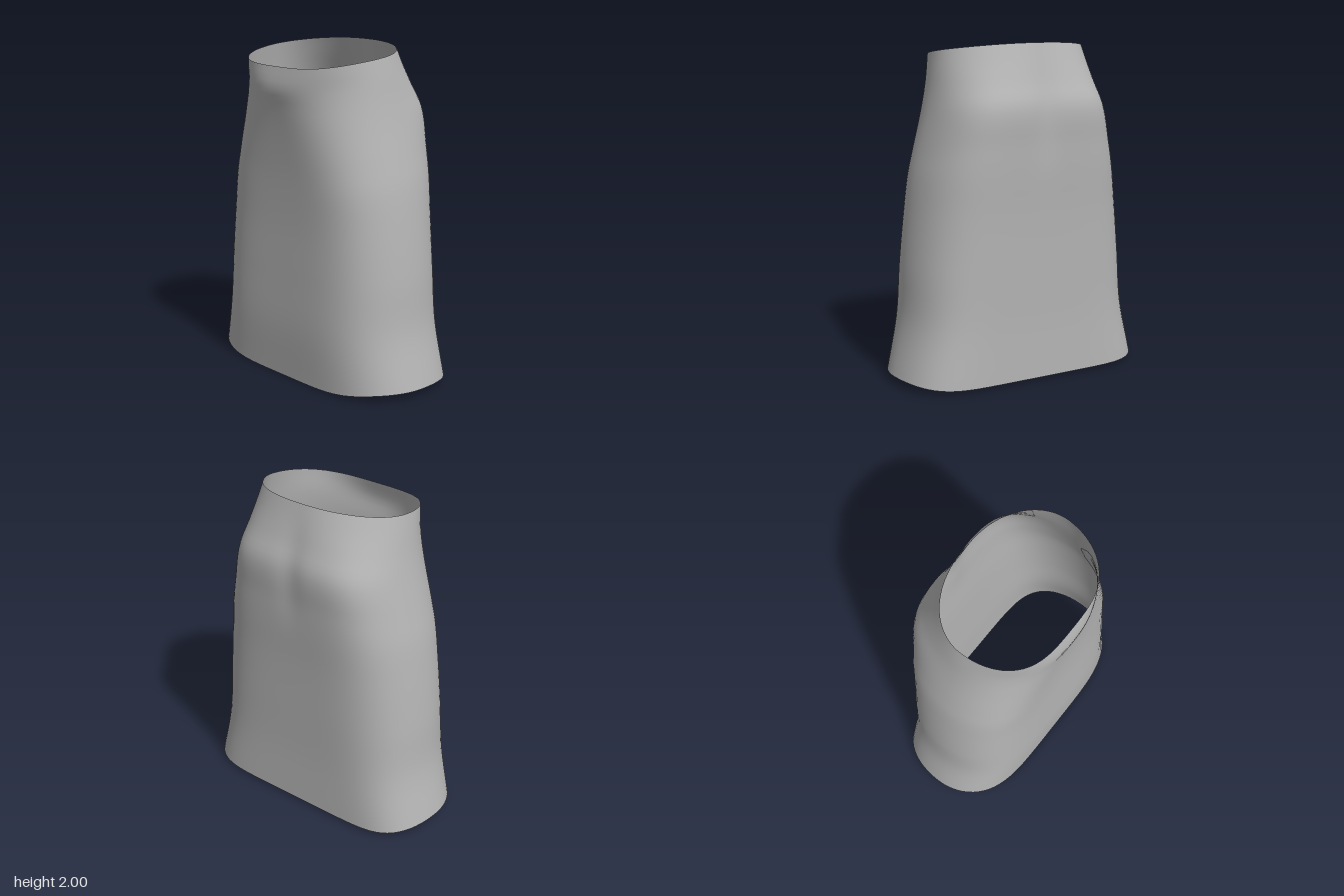
import * as THREE from 'three';

// Cross-sections from hem to waist:
// height fraction, half width, front z, back z, front squareness, back squareness, centre z, back dip
const SECTIONS = [
  [0.00, 0.800, 0.375, -0.388, 4.7, 6.8, 0.00, 0.000],
  [0.17, 0.730, 0.388, -0.385, 4.5, 5.6, 0.00, 0.000],
  [0.34, 0.706, 0.382, -0.393, 4.4, 4.8, 0.00, 0.000],
  [0.50, 0.672, 0.375, -0.403, 4.5, 4.6, 0.00, 0.000],
  [0.62, 0.638, 0.377, -0.417, 4.5, 4.6, 0.00, 0.002],
  [0.69, 0.607, 0.382, -0.423, 4.1, 4.6, 0.00, 0.008],
  [0.81, 0.552, 0.398, -0.427, 3.2, 4.4, 0.00, 0.018],
  [0.88, 0.524, 0.413, -0.380, 2.6, 3.5, 0.01, 0.010],
  [0.94, 0.504, 0.430, -0.343, 2.3, 2.7, 0.02, 0.004],
  [1.00, 0.482, 0.405, -0.308, 3.2, 2.2, 0.03, 0.000],
];
const ROWS = 48;
const SIDES = 96;

const sectionAt = new THREE.CubicInterpolant(
  SECTIONS.map((s) => s[0]),
  SECTIONS.flatMap((s) => s.slice(1)),
  7,
);

// Point on the cloth at height fraction t and angle a (a = 90 degrees is the front)
function clothPoint(t, a) {
  const [w, front, back, squareFront, squareBack, zc, dip] = sectionAt.evaluate(t);
  const isFront = a < Math.PI;
  const c = Math.cos(a);

  // Flat front and back with rounded ends
  const depth = Math.sqrt(Math.max(0, 1 - Math.abs(c) ** (isFront ? squareFront : squareBack)));
  const x = w * c;
  let z = zc + depth * ((isFront ? front : back) - zc);
  if (!isFront) z += dip * Math.exp(-((x / 0.08) ** 2));

  // The hem sags at front and back; the waist slopes down to the front
  const hem = 0.048 - (isFront ? 0.048 * depth ** 6 : 0.03 * depth ** 2);
  const waist = 1.952 - 0.12 * z - 0.25 * z ** 3;
  return [x, THREE.MathUtils.lerp(hem, waist, t), z];
}

function skirtGeometry() {
  const positions = [], indices = [];
  for (let i = 0; i <= ROWS; i++) {
    for (let j = 0; j < SIDES; j++) {
      positions.push(...clothPoint(i / ROWS, (j / SIDES) * Math.PI * 2));
    }
  }
  for (let i = 0; i < ROWS; i++) {
    for (let j = 0; j < SIDES; j++) {
      const k = (j + 1) % SIDES;
      const a = i * SIDES + j, b = i * SIDES + k;
      const d = a + SIDES, e = b + SIDES;
      indices.push(a, d, b, b, d, e);
    }
  }
  const geometry = new THREE.BufferGeometry();
  geometry.setAttribute('position', new THREE.Float32BufferAttribute(positions, 3));
  geometry.setIndex(indices);
  geometry.computeVertexNormals();
  return geometry;
}

export function createModel() {
  const cloth = new THREE.MeshStandardMaterial({ color: 0xb4b4b4, side: THREE.DoubleSide });
  cloth.name = 'grey cloth';

  // Open tube of cloth
  const skirt = new THREE.Mesh(skirtGeometry(), cloth);
  skirt.name = 'skirt';

  const model = new THREE.Group();
  model.name = 'skirtModel';
  model.add(skirt);
  return model;
}
